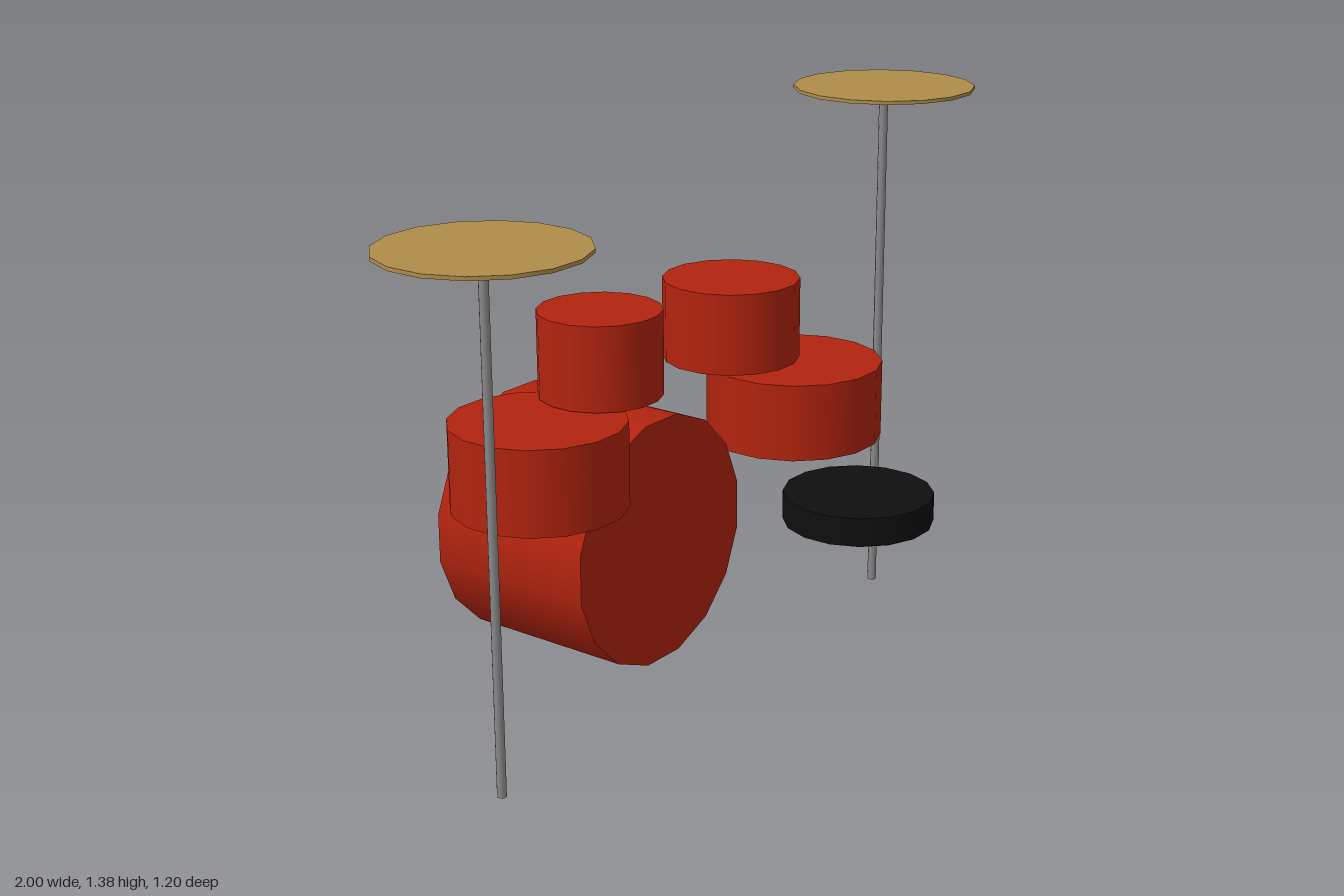
import * as THREE from 'three';

const SIDES = 16;
const FLAT = Math.cos(Math.PI / SIDES); // half width across flats / radius

function material(name, color) {
  const m = new THREE.MeshStandardMaterial({ color });
  m.name = name;
  return m;
}

export function createModel() {
  const model = new THREE.Group();
  model.name = 'drumKit';

  const red = material('red shell', 0xb3240f);
  const black = material('black seat', 0x0f0f0f);
  const brass = material('brass', 0xb08d4a);
  const steel = material('steel', 0x8a8a8a);

  // Upright cylinder from its half width, bottom and top, flats facing the axes
  function drum(name, mat, x, z, halfWidth, bottom, top, sides = SIDES) {
    const r = halfWidth / FLAT;
    const geo = new THREE.CylinderGeometry(r, r, top - bottom, sides);
    geo.rotateY(Math.PI / sides);
    const mesh = new THREE.Mesh(geo, mat);
    mesh.name = name;
    mesh.position.set(x, (bottom + top) / 2, z);
    model.add(mesh);
    return mesh;
  }

  // Bass drum lying along z
  const bass = drum('bassDrum', red, 0, 0, 0.316, 0, 0.457);
  bass.rotation.x = Math.PI / 2;
  bass.position.set(-0.032, 0.347, -0.37);

  // Toms and snare
  drum('snareDrum', red, -0.487, -0.141, 0.203, 0.585, 0.79);
  drum('highTom', red, -0.26, -0.142, 0.145, 0.793, 0.997);
  drum('midTom', red, 0.256, -0.142, 0.169, 0.757, 0.961);
  drum('floorTom', red, 0.54, -0.142, 0.227, 0.473, 0.675);

  // Stool seat
  drum('stoolSeat', black, -0.032, 0.428, 0.17, 0.54, 0.607);

  // Cymbals on their stands
  for (const [side, x, top] of [['left', 0.77, 1.379], ['right', -0.77, 1.265]]) {
    drum(side + 'Cymbal', brass, x, -0.029, 0.229, top - 0.009, top);
    drum(side + 'CymbalStand', steel, x, -0.029, 0.0115, 0, top - 0.009, 8);
  }

  return model;
}
